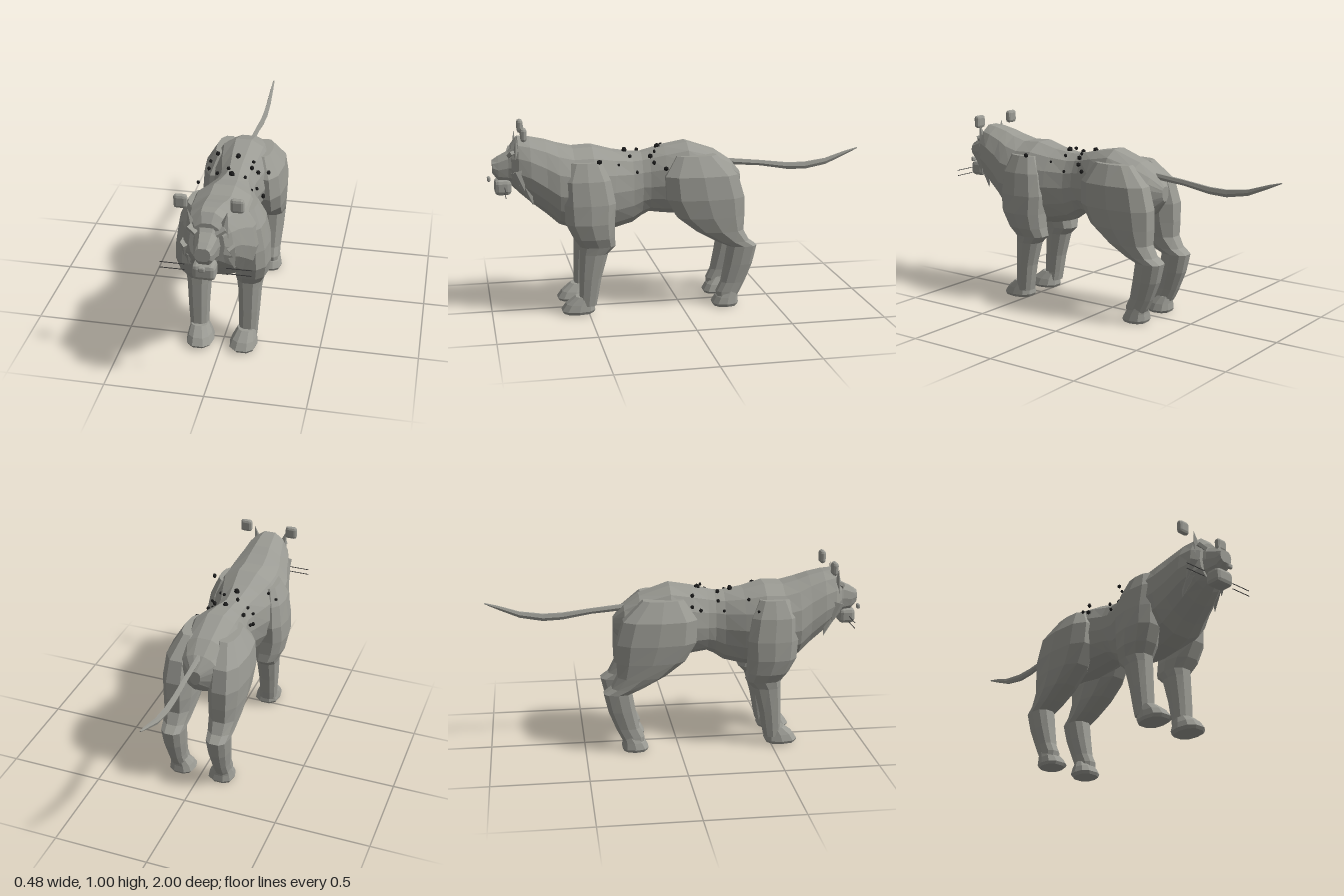
import * as THREE from 'three';
import { RoundedBoxGeometry } from 'three/addons/geometries/RoundedBoxGeometry.js';

const mat = (name, color, opts = {}) => {
  const m = new THREE.MeshStandardMaterial({ color, flatShading: true, ...opts });
  m.name = name;
  return m;
};

// Skins a stack of rings (each counter-clockwise seen along the axis) and caps both ends
function loft(rings) {
  const n = rings[0].length, pos = rings.flat(2), idx = [];
  rings.slice(1).forEach((_, i) => {
    for (let j = 0; j < n; j++) {
      const k = (j + 1) % n, a = i * n + j, b = i * n + k;
      idx.push(a, b, b + n, a, b + n, a + n);
    }
  });
  const last = (rings.length - 1) * n;
  for (let j = 1; j < n - 1; j++) idx.push(0, j + 1, j, last, last + j, last + j + 1);
  const g = new THREE.BufferGeometry();
  g.setAttribute('position', new THREE.Float32BufferAttribute(pos, 3));
  g.setIndex(idx);
  g.computeVertexNormals();
  return g;
}

const angles = n => Array.from({ length: n }, (_, i) => i / n * Math.PI * 2);
const soft = (v, p) => Math.sign(v) * Math.abs(v) ** p;

// Rings along z: [z, halfWidth, yOfWidest, top, bottom]
const alongZ = (rows, n = 12, p = 0.9) => loft(rows.map(([z, w, y, top, bottom]) =>
  angles(n).map(a => {
    const s = Math.sin(a);
    return [w * soft(Math.cos(a), p), y + s * (s > 0 ? top - y : y - bottom), z];
  })));

// Rings along y, listed from the ground up: [y, x, z, halfWidth, halfDepth]
const alongY = (rows, side, n = 10) => loft(rows.map(([y, x, z, rx, rz]) =>
  angles(n).map(a => [side * x + rx * soft(Math.cos(a), 0.8), y, z - rz * soft(Math.sin(a), 0.8)])));

const TORSO = [
  [-0.335, 0.03, 0.68, 0.71, 0.63], [-0.28, 0.1, 0.7, 0.775, 0.56], [-0.2, 0.14, 0.7, 0.83, 0.51],
  [-0.04, 0.16, 0.7, 0.885, 0.49], [0.08, 0.14, 0.67, 0.865, 0.5], [0.16, 0.115, 0.66, 0.845, 0.51],
  [0.2, 0.11, 0.66, 0.835, 0.49], [0.25, 0.12, 0.65, 0.835, 0.455], [0.35, 0.16, 0.65, 0.85, 0.43],
  [0.46, 0.2, 0.64, 0.88, 0.425], [0.56, 0.2, 0.64, 0.875, 0.44], [0.64, 0.19, 0.65, 0.895, 0.47],
  [0.7, 0.165, 0.69, 0.915, 0.525], [0.78, 0.145, 0.74, 0.932, 0.59], [0.84, 0.12, 0.76, 0.938, 0.645],
  [0.875, 0.085, 0.78, 0.895, 0.68],
];
const SNOUT = [
  [0.84, 0.08, 0.78, 0.91, 0.68], [0.89, 0.058, 0.78, 0.86, 0.695],
  [0.94, 0.047, 0.77, 0.835, 0.71], [0.97, 0.038, 0.78, 0.815, 0.745],
];
const TAIL = [
  [-1, 0.004, 0.805, 0.808, 0.802], [-0.93, 0.008, 0.78, 0.791, 0.768], [-0.82, 0.012, 0.738, 0.756, 0.72],
  [-0.7, 0.014, 0.717, 0.74, 0.698], [-0.6, 0.013, 0.72, 0.742, 0.702], [-0.45, 0.012, 0.742, 0.76, 0.728],
  [-0.27, 0.014, 0.76, 0.778, 0.742],
];
const FRONT_LEG = [
  [0.05, 0.125, 0.505, 0.05, 0.045], [0.1, 0.128, 0.5, 0.05, 0.05], [0.2, 0.13, 0.49, 0.055, 0.058],
  [0.33, 0.13, 0.47, 0.062, 0.075], [0.37, 0.13, 0.45, 0.07, 0.095], [0.42, 0.14, 0.47, 0.085, 0.11],
  [0.5, 0.15, 0.49, 0.088, 0.13], [0.6, 0.15, 0.49, 0.083, 0.138], [0.72, 0.14, 0.5, 0.072, 0.125],
  [0.81, 0.125, 0.5, 0.045, 0.08],
];
const HIND_LEG = [
  [0.04, 0.125, -0.24, 0.045, 0.05], [0.08, 0.125, -0.25, 0.045, 0.065], [0.13, 0.125, -0.275, 0.045, 0.065],
  [0.23, 0.125, -0.305, 0.055, 0.075], [0.33, 0.125, -0.325, 0.062, 0.078], [0.36, 0.125, -0.27, 0.07, 0.09],
  [0.42, 0.125, -0.2, 0.082, 0.13], [0.5, 0.125, -0.15, 0.092, 0.185], [0.6, 0.125, -0.12, 0.098, 0.215],
  [0.72, 0.12, -0.1, 0.09, 0.2], [0.82, 0.1, -0.08, 0.05, 0.11],
];
const PAW = [
  [0, 0.115, 0.025, 0.062, 0.08], [0.015, 0.112, 0.025, 0.072, 0.09],
  [0.05, 0.115, 0.015, 0.062, 0.075], [0.09, 0.122, -0.01, 0.045, 0.05],
];
// Spots: [x, y, z, radius]
const SPOTS = [
  [0, 0.855, 0.11, 0.018], [0, 0.842, 0.285, 0.018], [-0.155, 0.79, 0.065, 0.011], [-0.155, 0.77, 0.11, 0.012],
  [-0.115, 0.84, 0.07, 0.013], [0.08, 0.82, 0.16, 0.014], [0.085, 0.845, 0.14, 0.01], [0.155, 0.765, 0.09, 0.013],
  [0.11, 0.79, 0.145, 0.013], [-0.09, 0.8, 0.21, 0.011], [-0.03, 0.835, 0.215, 0.013], [-0.11, 0.75, 0.24, 0.01],
  [0.065, 0.82, 0.265, 0.011], [0.12, 0.745, 0.235, 0.01], [0.11, 0.785, 0.33, 0.009],
  [-0.155, 0.82, 0.36, 0.011], [-0.182, 0.76, 0.41, 0.009], [0.187, 0.82, 0.44, 0.014],
];

export function createModel() {
  const model = new THREE.Group();
  model.name = 'bigCat';
  const fur = mat('grey fur', 0x9b9b94);
  const black = mat('black spots', 0x1b1b1b);
  const dark = mat('dark whiskers', 0x3a3a3a);
  const add = (name, geo, material = fur, x = 0, y = 0, z = 0) => {
    const m = new THREE.Mesh(geo, material);
    m.name = name;
    m.position.set(x, y, z);
    model.add(m);
    return m;
  };

  add('torso', alongZ(TORSO, 14));
  add('snout', alongZ(SNOUT, 10, 0.6));
  add('tail', alongZ(TAIL, 6));
  add('muzzle', new RoundedBoxGeometry(0.11, 0.08, 0.085, 1, 0.02), fur, 0, 0.676, 0.92);
  add('noseTip', new RoundedBoxGeometry(0.032, 0.026, 0.018, 1, 0.007), fur, 0, 0.717, 0.99);

  for (const side of [-1, 1]) {
    const label = side > 0 ? 'left' : 'right';

    // Legs and paws
    add(label + 'FrontLeg', alongY(FRONT_LEG, side));
    add(label + 'HindLeg', alongY(HIND_LEG, side));
    add(label + 'FrontPaw', alongY(PAW, side), fur, 0, 0.008, 0.53);
    add(label + 'HindPaw', alongY(PAW, side), fur, 0, 0, -0.255).scale.z = 0.8;

    // Pointed ear with a round tuft floating above it
    const ear = add(label + 'Ear', new THREE.ConeGeometry(0.035, 0.13, 5), fur, side * 0.08, 0.885, 0.85);
    ear.rotation.z = -side * 0.22;
    ear.scale.z = 0.6;
    add(label + 'EarTuft', new RoundedBoxGeometry(0.066, 0.07, 0.032, 1, 0.015), fur, side * 0.133, 0.965, 0.815);

    // Brow over the eye
    const brow = add(label + 'Brow', new THREE.BoxGeometry(0.05, 0.018, 0.03), fur, side * 0.065, 0.855, 0.873);
    brow.rotation.set(0.3, side * 0.5, side * 0.4);

    // Cheek ruff hanging in points
    [[0.115, 0.72, 0.83, 0.11], [0.105, 0.65, 0.79, 0.12]].forEach(([x, y, z, h]) => {
      const ruff = add(label + 'CheekRuff', new THREE.ConeGeometry(0.04, h, 5), fur, side * x, y, z);
      ruff.scale.x = 0.6;
      ruff.rotation.set(0.3, 0, Math.PI + side * 0.15);
    });

    // Whiskers
    for (const y of [0.66, 0.69])
      add(label + 'Whisker', new THREE.BoxGeometry(0.118, 0.003, 0.003), dark, side * 0.157, y, 0.915);
  }

  // Spots scattered over the back
  SPOTS.forEach(([x, y, z, r], i) => {
    const spot = add('spot', new THREE.IcosahedronGeometry(r, 0), black, x, y, z);
    spot.rotation.y = i * 1.3;
    spot.scale.x = 0.8;
  });
  return model;
}
